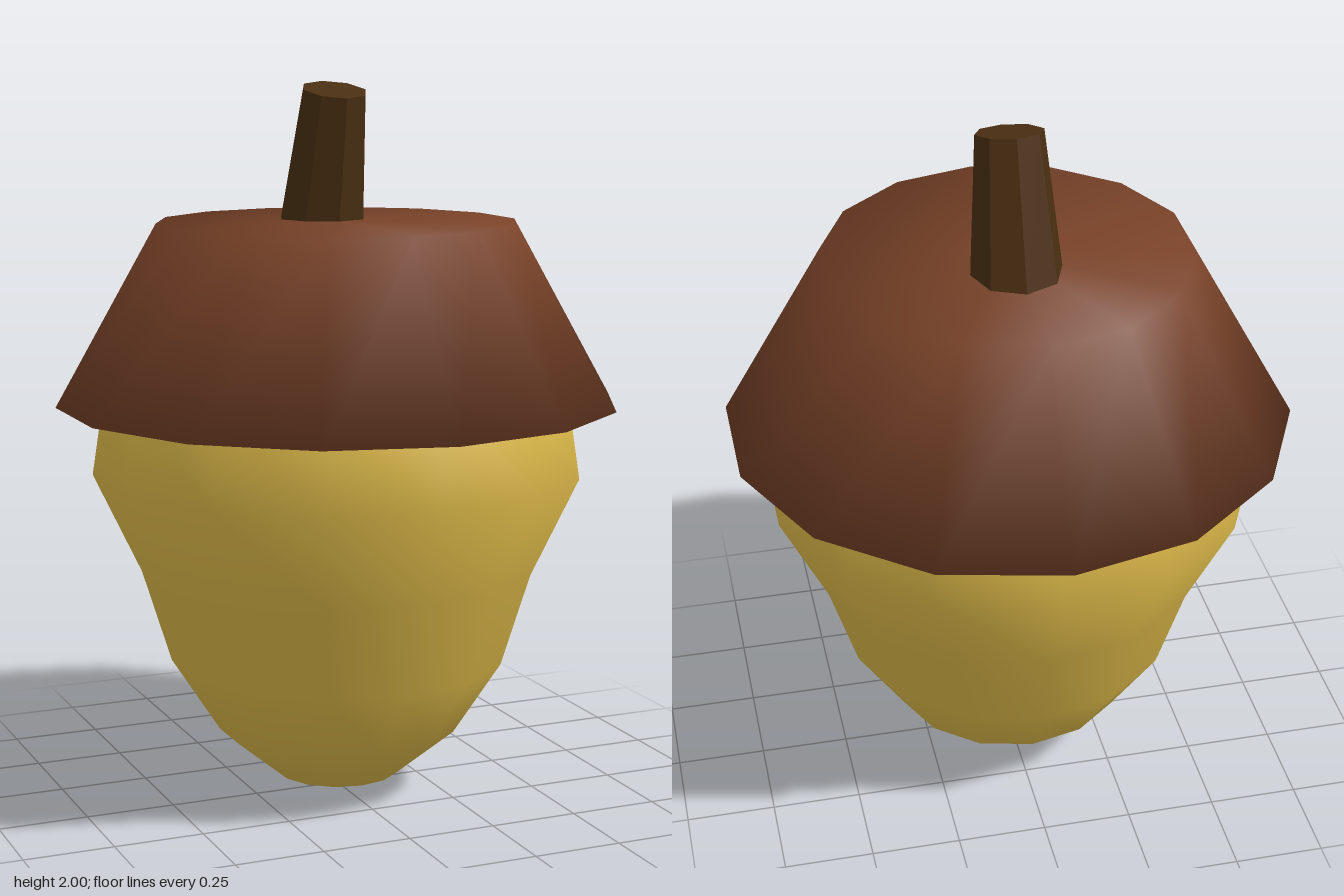
import * as THREE from 'three';
import { mergeVertices } from 'three/addons/utils/BufferGeometryUtils.js';

const SIDES = 14;

// Weld all seams so the shading rolls smoothly over every edge
function smooth(geometry) {
  geometry.deleteAttribute('uv');
  geometry.deleteAttribute('normal');
  const welded = mergeVertices(geometry, 1e-4);
  welded.computeVertexNormals();
  return welded;
}

export function createModel() {
  const group = new THREE.Group();
  group.name = 'acorn';

  const nutYellow = new THREE.MeshStandardMaterial({ color: 0xe0bc4a });
  nutYellow.name = 'nut yellow';
  const capBrown = new THREE.MeshStandardMaterial({ color: 0x784228 });
  capBrown.name = 'cap brown';
  const stemBrown = new THREE.MeshStandardMaterial({ color: 0x4a2f12, flatShading: true });
  stemBrown.name = 'stem brown';

  const add = (name, geometry, material) => {
    const mesh = new THREE.Mesh(geometry, material);
    mesh.name = name;
    group.add(mesh);
    return mesh;
  };

  // Nut: tapered body, closed at the top inside the cap
  const profile = [
    [0, 0], [0.175, 0.045], [0.34, 0.18], [0.475, 0.39], [0.555, 0.65],
    [0.687, 0.93], [0.645, 1.2], [0.45, 1.45], [0, 1.55],
  ].map(([r, y]) => new THREE.Vector2(r, y));
  add('nut', smooth(new THREE.LatheGeometry(profile, SIDES)), nutYellow);

  // Cap: solid flared frustum with a flat top and underside
  const cap = add('cap', smooth(new THREE.CylinderGeometry(0.503, 0.785, 0.5, SIDES)), capBrown);
  cap.position.y = 1.37;

  // Stem: tapered, leaning forward, with its foot sunk into the cap
  const length = 0.42;
  const stemGeometry = new THREE.CylinderGeometry(0.092, 0.128, length, 8);
  stemGeometry.translate(0, -length / 2, 0);
  const stem = add('stem', stemGeometry, stemBrown);
  stem.position.set(0, 1.978, -0.02);
  stem.rotation.x = THREE.MathUtils.degToRad(13.8);

  return group;
}
